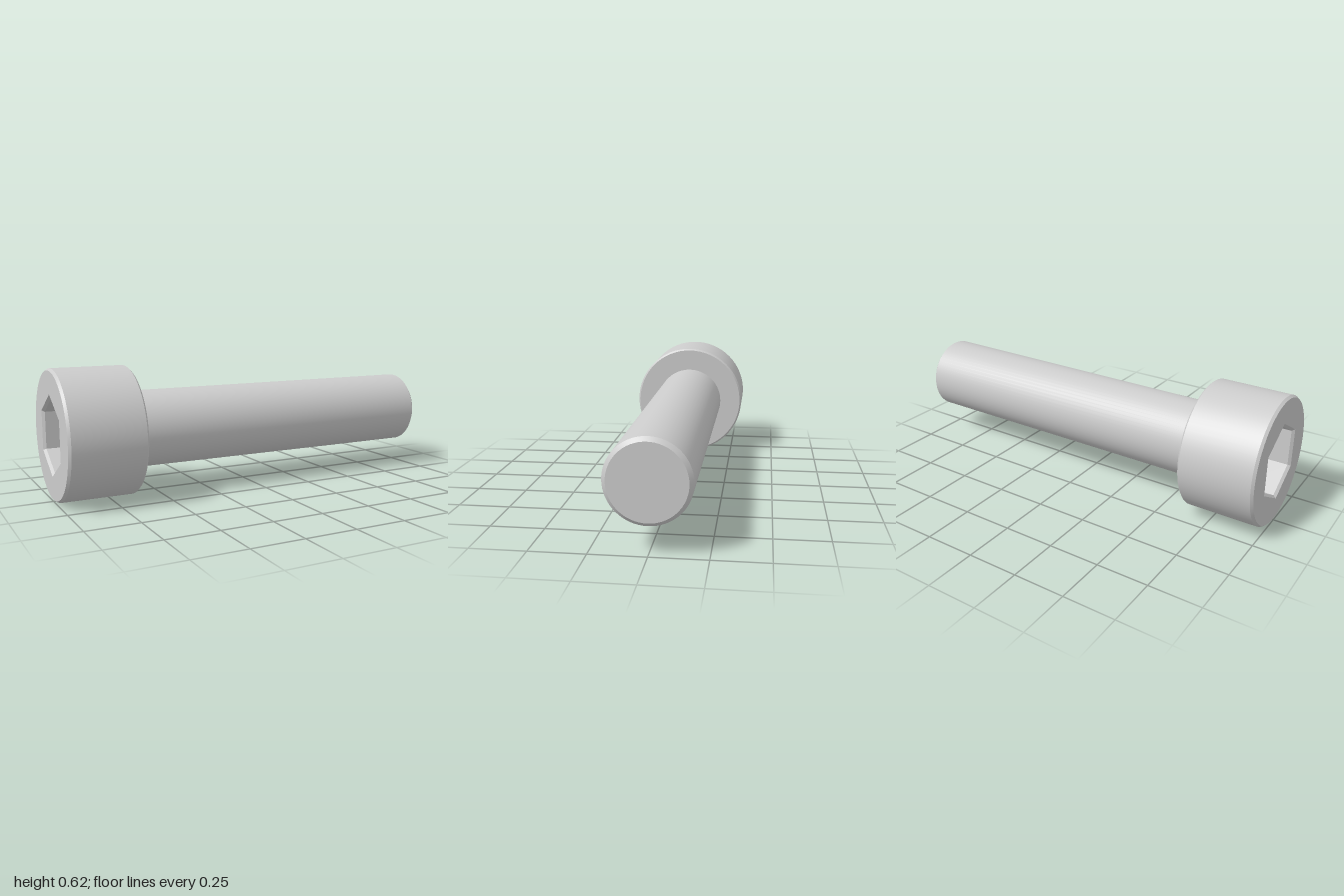
import * as THREE from 'three';
import { toCreasedNormals } from 'three/addons/utils/BufferGeometryUtils.js';

const SIDES = 64;
const HEAD_R = 0.311, HEAD_LEN = 0.366, SHANK_R = 0.186, LENGTH = 2;
const HEX_R = 0.18, HEX_RIM_R = 0.193, HEX_DEPTH = 0.188;
const CHAMFER = 0.009, TIP_CHAMFER = 0.018;

// Revolve [radius, distance along the axis] points, keeping chamfer edges sharp
function turned(points, sides, start = 0) {
  const profile = points.map(([r, d]) => new THREE.Vector2(r, d));
  return toCreasedNormals(new THREE.LatheGeometry(profile, sides, start), 0.4);
}

// Regular polygon outline
function polygon(radius, sides) {
  return Array.from({ length: sides }, (_, i) => {
    const a = (i / sides) * Math.PI * 2;
    return new THREE.Vector2(radius * Math.cos(a), radius * Math.sin(a));
  });
}

export function createModel() {
  const model = new THREE.Group();
  model.name = 'socketHeadBolt';
  const material = new THREE.MeshStandardMaterial({ color: 0xcccccc });

  // Bolt is made along +y, then laid along +x
  const bolt = new THREE.Group();
  bolt.name = 'bolt';
  bolt.rotation.z = -Math.PI / 2;
  bolt.position.set(-LENGTH / 2, HEAD_R, 0);
  model.add(bolt);

  const add = (name, geometry) => {
    const mesh = new THREE.Mesh(geometry, material);
    mesh.name = name;
    bolt.add(mesh);
  };

  // Head wall with chamfered rims and the bearing face underneath
  add('head', turned([
    [HEAD_R - CHAMFER, 0],
    [HEAD_R, CHAMFER * 1.4],
    [HEAD_R, HEAD_LEN - CHAMFER],
    [HEAD_R - CHAMFER, HEAD_LEN],
    [SHANK_R, HEAD_LEN],
  ], SIDES));

  // End face of the head with the hexagonal opening
  const face = new THREE.Shape(polygon(HEAD_R - CHAMFER, SIDES));
  face.holes.push(new THREE.Path(polygon(HEX_RIM_R, 6)));
  add('headFace', new THREE.ShapeGeometry(face).rotateX(Math.PI / 2));

  // Hex socket: floor, walls and chamfered entry, corners at top and bottom
  add('hexSocket', turned([
    [0, HEX_DEPTH],
    [HEX_R, HEX_DEPTH],
    [HEX_R, HEX_RIM_R - HEX_R],
    [HEX_RIM_R, 0],
  ], 6, Math.PI / 2));

  // Shank with a chamfered tip
  add('shank', turned([
    [SHANK_R, HEAD_LEN],
    [SHANK_R, LENGTH - TIP_CHAMFER],
    [SHANK_R - TIP_CHAMFER, LENGTH],
    [0, LENGTH],
  ], SIDES));

  return model;
}
